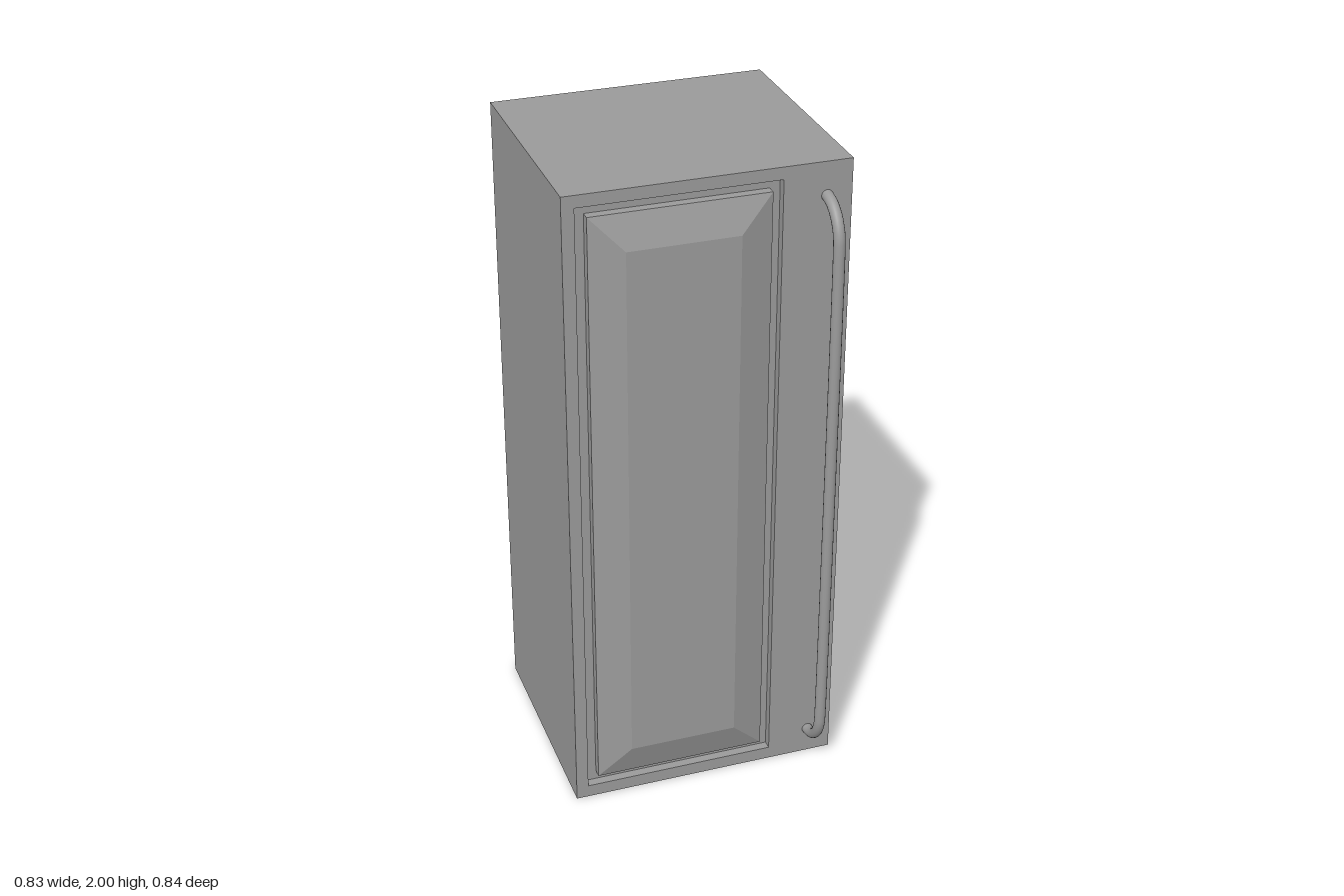
import * as THREE from 'three';

const material = new THREE.MeshStandardMaterial({ color: 0x9b9b9b });
const flatMaterial = new THREE.MeshStandardMaterial({ color: 0x9b9b9b, flatShading: true });

const FRONT = 0.302, BACK = -0.417, GROOVE = 0.274, HALF_W = 0.415;

function addMesh(group, name, geometry, mat = flatMaterial) {
  const mesh = new THREE.Mesh(geometry, mat);
  mesh.name = name;
  group.add(mesh);
  return mesh;
}

function rectangle(Type, x0, x1, y0, y1) {
  return new Type([[x0, y0], [x1, y0], [x1, y1], [x0, y1]].map(([x, y]) => new THREE.Vector2(x, y)));
}

// Raised panel: rectangular cross-sections [x0, x1, y0, y1, z] joined in rings, capped at the front
function panelGeometry(sections) {
  const positions = [], index = [];
  for (const [x0, x1, y0, y1, z] of sections) {
    positions.push(x0, y0, z, x1, y0, z, x1, y1, z, x0, y1, z);
  }
  for (let s = 0; s < sections.length - 1; s++) {
    for (let i = 0; i < 4; i++) {
      const a = s * 4 + i, b = s * 4 + (i + 1) % 4;
      index.push(a, b, b + 4, a, b + 4, a + 4);
    }
  }
  const c = (sections.length - 1) * 4;
  index.push(c, c + 1, c + 2, c, c + 2, c + 3);
  const geometry = new THREE.BufferGeometry();
  geometry.setAttribute('position', new THREE.Float32BufferAttribute(positions, 3));
  geometry.setIndex(index);
  const flat = geometry.toNonIndexed();
  flat.computeVertexNormals();
  return flat;
}

export function createModel() {
  const model = new THREE.Group();
  model.name = 'tallCabinet';

  // Cabinet body, up to the floor of the groove
  const body = addMesh(model, 'body', new THREE.BoxGeometry(2 * HALF_W, 2, GROOVE - BACK));
  body.position.set(0, 1, (GROOVE + BACK) / 2);

  // Front frame with the opening around the panel
  const frame = rectangle(THREE.Shape, -HALF_W, HALF_W, 0, 2);
  frame.holes.push(rectangle(THREE.Path, -0.378, 0.213, 0.04, 1.963));
  addMesh(model, 'doorFrame',
    new THREE.ExtrudeGeometry(frame, { depth: FRONT - GROOVE, bevelEnabled: false })).position.z = GROOVE;

  // Bevelled door panel
  addMesh(model, 'doorPanel', panelGeometry([
    [-0.345, 0.183, 0.07, 1.932, GROOVE],
    [-0.345, 0.183, 0.07, 1.932, FRONT],
    [-0.247, 0.083, 0.173, 1.831, 0.335],
  ]));

  // Long handle, a bar bent back into the door at both ends, bowed slightly at mid-height
  const points = [];
  const steps = 8;
  for (const side of [1, -1]) {
    for (let i = 0; i <= steps; i++) {
      const t = (side > 0 ? i : steps - i) / steps * Math.PI / 2;
      points.push(new THREE.Vector3(0.341, 0.992 + side * (0.795 + 0.113 * Math.cos(t)), 0.297 + 0.102 * Math.sin(t)));
    }
    if (side > 0) points.push(new THREE.Vector3(0.341, 0.992, 0.402));
  }
  addMesh(model, 'handle',
    new THREE.TubeGeometry(new THREE.CatmullRomCurve3(points), 120, 0.017, 16), material);

  return model;
}
